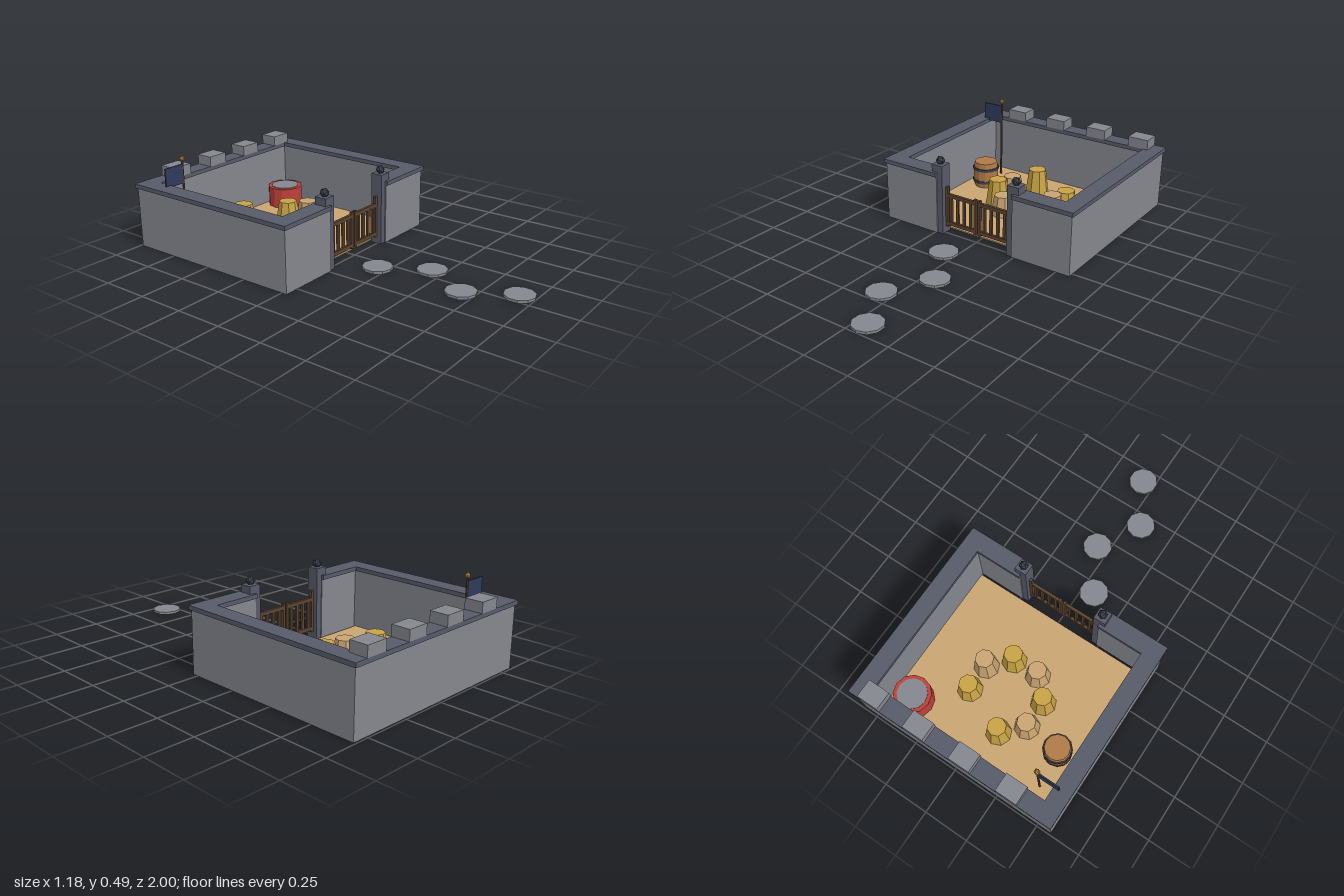
import * as THREE from 'three';

const mat = (name, color) => {
  const m = new THREE.MeshStandardMaterial({ color, flatShading: true });
  m.name = name;
  return m;
};

export function createModel() {
  const root = new THREE.Group();
  root.name = 'walledYard';

  const stone = mat('stone grey', 0x84878e);
  const slate = mat('slate', 0x575b69);
  const sand = mat('sand', 0xcaa572);
  const straw = mat('straw yellow', 0xc9a445);
  const timber = mat('dark timber', 0x5c4430);
  const oak = mat('barrel oak', 0xb07a48);
  const iron = mat('iron', 0x3c404c);
  const navy = mat('navy cloth', 0x2f3b5c);
  const gold = mat('gold', 0xb98f3c);
  const red = mat('red', 0xc0403a);

  const add = (name, geometry, material, x = 0, y = 0, z = 0, parent = root) => {
    const mesh = new THREE.Mesh(geometry, material);
    mesh.name = name;
    mesh.position.set(x, y, z);
    parent.add(mesh);
    return mesh;
  };
  // Box given by its low and high corners
  const box = (name, material, [x0, x1], [y0, y1], [z0, z1], parent = root) =>
    add(name, new THREE.BoxGeometry(x1 - x0, y1 - y0, z1 - z0), material,
      (x0 + x1) / 2, (y0 + y1) / 2, (z0 + z1) / 2, parent);
  // The same box on the left (+x) or right (-x) side
  const span = (s, a, b) => (s > 0 ? [a, b] : [-b, -a]);
  // Cylinder standing on a given height
  const drum = (name, material, rTop, rBottom, h, sides, x, y, z, parent = root) =>
    add(name, new THREE.CylinderGeometry(rTop, rBottom, h, sides), material, x, y + h / 2, z, parent);

  // Floor
  box('floor', sand, [-0.503, 0.503], [0, 0.008], [-0.915, -0.055]);

  // Back wall with coping and battlements
  const wallY = [0, 0.327], capY = [0.327, 0.35];
  box('backWall', stone, [-0.578, 0.578], wallY, [-0.99, -0.915]);
  box('backCoping', slate, [-0.588, 0.588], capY, [-1, -0.905]);
  for (let i = 0; i < 4; i++) {
    const x = -0.341 + i * 0.267;
    box('merlon', stone, [x - 0.059, x + 0.059], [0.35, 0.405], [-1, -0.903]);
  }

  for (const s of [1, -1]) {
    // Side wall and front wall, each with coping
    box('sideWall', stone, span(s, 0.503, 0.578), wallY, [-0.915, 0.03]);
    box('sideCoping', slate, span(s, 0.493, 0.588), capY, [-0.905, 0.04]);
    box('frontWall', stone, span(s, 0.237, 0.503), wallY, [-0.045, 0.03]);
    box('frontCoping', slate, span(s, 0.237, 0.493), capY, [-0.057, 0.04]);

    // Gate pillar with faceted finial
    box('gatePillar', slate, span(s, 0.203, 0.27), [0, 0.39], [-0.041, 0.024]);
    add('pillarFinial', new THREE.IcosahedronGeometry(0.025, 0), iron, s * 0.236, 0.408, -0.008);

    // Gate leaf
    const leaf = new THREE.Group();
    leaf.name = s > 0 ? 'leftGateLeaf' : 'rightGateLeaf';
    root.add(leaf);
    const thick = [-0.018, -0.002];
    box('hingeStile', timber, span(s, 0.187, 0.203), [0.038, 0.268], thick, leaf);
    box('latchStile', timber, span(s, 0.005, 0.021), [0.038, 0.242], thick, leaf);
    for (const y of [0.048, 0.21])
      box('gateRail', timber, span(s, 0.021, 0.187), [y, y + 0.02], thick, leaf);
    for (let i = 0; i < 4; i++) {
      const x = 0.044 + i * 0.042;
      box('gateBar', timber, span(s, x - 0.008, x + 0.008), [0.068, 0.21], [-0.016, -0.004], leaf);
    }
  }

  // Broken ring of tapered stools, one place left open
  for (let i = 0; i < 8; i++) {
    if (i === 5) continue;
    const a = (202.5 + i * 45) * Math.PI / 180;
    const h = [0.154, 0.122, 0.138][i % 3];
    drum('stool', i % 2 ? sand : straw, 0.05, 0.07, h - 0.004, 8,
      Math.cos(a) * 0.195, 0.004, -0.54 - Math.sin(a) * 0.195);
  }

  // Barrel with two hoops
  const barrel = new THREE.Group();
  barrel.name = 'barrel';
  barrel.position.set(-0.386, 0.004, -0.64);
  root.add(barrel);
  const profile = [[0, 0], [0.064, 0], [0.073, 0.05], [0.073, 0.105], [0.066, 0.155], [0, 0.155]];
  add('barrelStaves', new THREE.LatheGeometry(profile.map(p => new THREE.Vector2(...p)), 12), oak,
    0, 0, 0, barrel);
  for (const y of [0.032, 0.108])
    drum('barrelHoop', iron, 0.077, 0.077, 0.016, 12, 0, y, 0, barrel);

  // Red drum with a grey head
  drum('drumBody', red, 0.1, 0.1, 0.12, 12, 0.386, 0.004, -0.815);
  drum('drumHead', stone, 0.08, 0.08, 0.006, 12, 0.386, 0.122, -0.815);

  // Flag on a pole
  drum('flagPole', timber, 0.006, 0.006, 0.46, 6, -0.404, 0.004, -0.83);
  add('poleBall', new THREE.IcosahedronGeometry(0.016, 0), gold, -0.404, 0.474, -0.83);
  box('flag', navy, [-0.525, -0.408], [0.34, 0.446], [-0.834, -0.826]);

  // Stepping stones
  for (let i = 0; i < 4; i++)
    drum('steppingStone', stone, 0.08, 0.08, 0.014, 10, i % 2 ? 0.065 : -0.068, 0, 0.195 + i * 0.242);

  return root;
}
